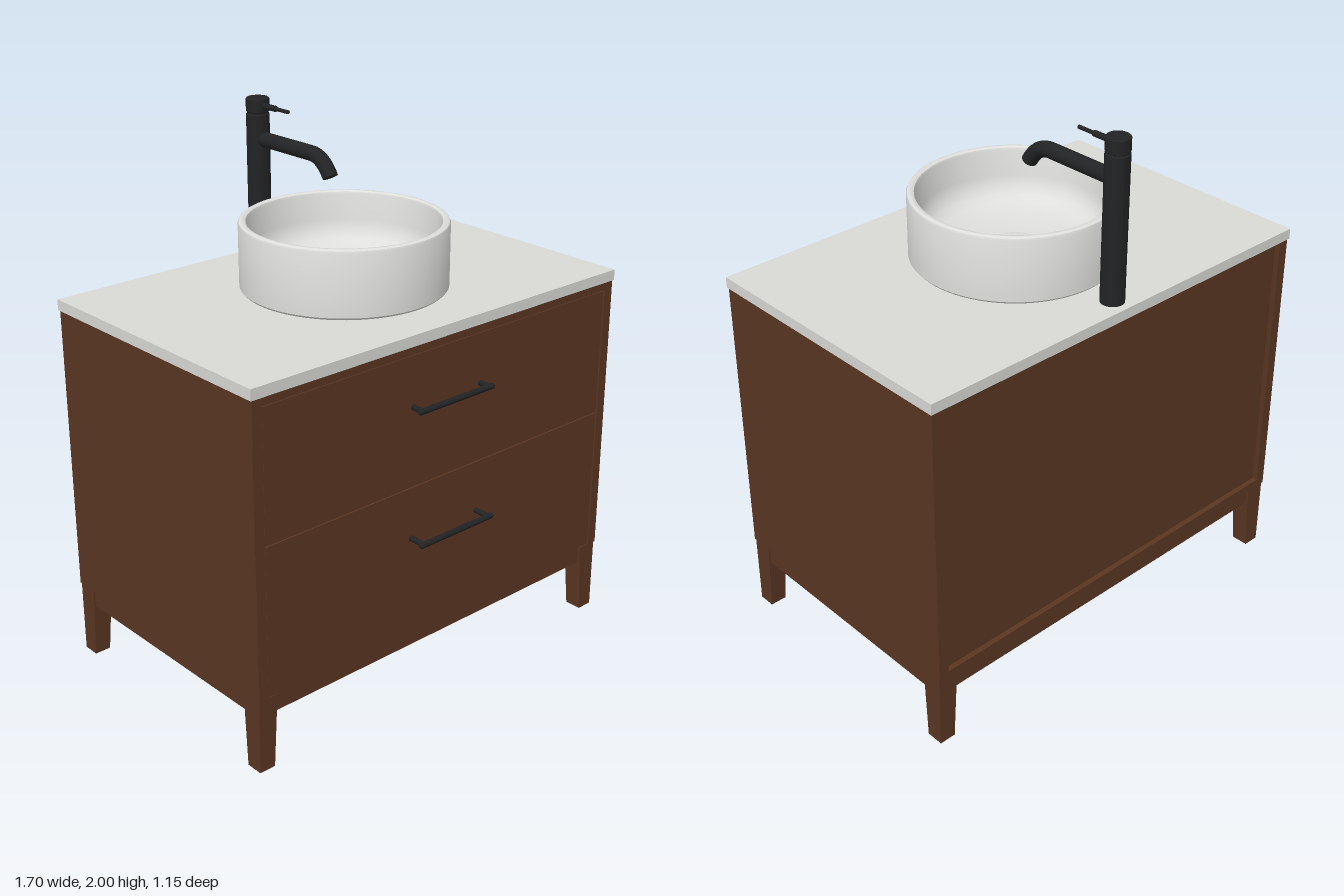
import * as THREE from 'three';
import { toCreasedNormals } from 'three/addons/utils/BufferGeometryUtils.js';

const material = (name, color) => {
  const m = new THREE.MeshStandardMaterial({ color });
  m.name = name;
  return m;
};

export function createModel() {
  const model = new THREE.Group();
  model.name = 'vanity';
  const wood = material('walnut wood', 0x5a3622);
  const stone = material('white stone', 0xd9d9d6);
  const ceramic = material('white ceramic', 0xdededc);
  const black = material('matte black', 0x222324);

  const add = (name, geometry, mat, x = 0, y = 0, z = 0, parent = model) => {
    const mesh = new THREE.Mesh(geometry, mat);
    mesh.name = name;
    mesh.position.set(x, y, z);
    parent.add(mesh);
    return mesh;
  };
  // Box given by its limits on each axis
  const box = (name, mat, [x0, x1], [y0, y1], [z0, z1]) =>
    add(name, new THREE.BoxGeometry(x1 - x0, y1 - y0, z1 - z0), mat,
      (x0 + x1) / 2, (y0 + y1) / 2, (z0 + z1) / 2);
  // Surface of revolution with crisp corners
  const lathe = (points, segments = 64) => toCreasedNormals(
    new THREE.LatheGeometry(points.map(p => new THREE.Vector2(...p)), segments), 0.6);

  const front = 0.5, back = -0.57, middle = (front + back) / 2;

  // Cabinet carcass
  for (const s of [-1, 1]) {
    const xs = [s * 0.805, s * 0.845].sort((a, b) => a - b);
    box('sidePanel', wood, xs, [0.28, 1.365], [back, front]);
  }
  box('topRail', wood, [-0.805, 0.805], [1.335, 1.365], [back + 0.02, front]);
  box('bottomPanel', wood, [-0.805, 0.805], [0.28, 0.31], [back, front - 0.008]);
  box('backPanel', wood, [-0.805, 0.805], [0.31, 1.335], [back + 0.02, back + 0.04]);

  // Drawers with bar handles
  const drawers = [
    { y: [0.285, 0.843], handleY: 0.65, barZ: 0.562 },
    { y: [0.847, 1.331], handleY: 1.145, barZ: 0.545 },
  ];
  for (const { y, handleY, barZ } of drawers) {
    box('drawerFront', wood, [-0.802, 0.802], y, [front - 0.04, front - 0.003]);
    const handle = new THREE.Group();
    handle.name = 'drawerHandle';
    handle.position.y = handleY;
    model.add(handle);
    add('handleBar', new THREE.CapsuleGeometry(0.011, 0.338, 6, 16), black,
      0, 0, barZ, handle).rotation.z = Math.PI / 2;
    for (const x of [-0.16, 0.16]) {
      add('handlePost', new THREE.CylinderGeometry(0.01, 0.01, barZ - front + 0.01, 16), black,
        x, 0, (barZ + front - 0.01) / 2, handle).rotation.x = Math.PI / 2;
    }
  }

  // Legs, tapered on their inner faces
  const legHeight = 0.28, legWidth = 0.08;
  for (const sx of [-1, 1]) for (const sz of [-1, 1]) {
    const geometry = new THREE.BoxGeometry(legWidth, legHeight, legWidth);
    const p = geometry.attributes.position;
    for (let i = 0; i < p.count; i++) {
      if (p.getY(i) > 0) continue;
      if (p.getX(i) * sx < 0) p.setX(i, p.getX(i) + sx * 0.017);
      if (p.getZ(i) * sz < 0) p.setZ(i, p.getZ(i) + sz * 0.015);
    }
    geometry.computeVertexNormals();
    add('leg', geometry, wood, sx * 0.803, legHeight / 2, middle + sz * (0.53 - legWidth / 2));
  }

  // Apron rails between the legs
  for (const z of [front - 0.03, back + 0.03])
    box('apronRail', wood, [-0.765, 0.765], [0.21, 0.28], [z - 0.016, z + 0.016]);
  for (const x of [-0.82, 0.82])
    box('apronRail', wood, [x - 0.016, x + 0.016], [0.21, 0.28], [back + 0.08, front - 0.08]);

  // Countertop
  box('countertop', stone, [-0.85, 0.85], [1.365, 1.405], [-0.575, 0.504]);

  // Vessel basin with a rounded rim and hollow bowl
  const basinZ = -0.03;
  add('basin', lathe([
    [0, 0], [0.367, 0], [0.374, 0.008], [0.374, 0.236], [0.371, 0.243], [0.364, 0.247],
    [0.353, 0.247], [0.347, 0.243], [0.344, 0.235], [0.338, 0.14], [0.328, 0.105],
    [0.308, 0.076], [0.275, 0.056], [0.22, 0.043], [0.15, 0.035], [0.085, 0.03], [0, 0.028],
  ], 80), ceramic, 0, 1.405, basinZ);
  add('drainFlange', lathe([
    [0.086, 0.026], [0.086, 0.034], [0.078, 0.037], [0.04, 0.033], [0, 0.033],
  ], 40), ceramic, 0, 1.405, basinZ);
  add('drainPlug', lathe([
    [0.033, 0.03], [0.033, 0.04], [0.026, 0.045], [0, 0.047],
  ], 32), ceramic, 0, 1.405, basinZ);

  // Tall faucet
  const faucet = new THREE.Group();
  faucet.name = 'faucet';
  faucet.position.z = -0.505;
  model.add(faucet);
  add('faucetColumn', lathe([
    [0, 1.4], [0.043, 1.4], [0.043, 1.94], [0.039, 1.943], [0.039, 1.948],
    [0.043, 1.951], [0.043, 1.996], [0.039, 2], [0, 2],
  ], 40), black, 0, 0, 0, faucet);

  // Spout: straight run, then a downward bend
  const v = (z, y) => new THREE.Vector3(0, y, z);
  const path = new THREE.CurvePath();
  path.add(new THREE.LineCurve3(v(0, 1.85), v(0.3, 1.85)));
  path.add(new THREE.QuadraticBezierCurve3(v(0.3, 1.85), v(0.362, 1.85), v(0.402, 1.783)));
  add('spout', new THREE.TubeGeometry(path, 48, 0.028, 24), black, 0, 0, 0, faucet);
  const tip = add('spoutTip', new THREE.CircleGeometry(0.028, 24), black, 0, 1.783, 0.402, faucet);
  tip.quaternion.setFromUnitVectors(new THREE.Vector3(0, 0, 1), path.getTangent(1));

  // Lever: thick root and thin pin
  const pin = (name, radius, z0, z1) => {
    add(name, new THREE.CylinderGeometry(radius, radius, z1 - z0, 16), black,
      0, 1.974, (z0 + z1) / 2, faucet).rotation.x = Math.PI / 2;
  };
  pin('leverRoot', 0.011, 0.03, 0.105);
  pin('leverPin', 0.007, 0.1, 0.175);

  return model;
}
